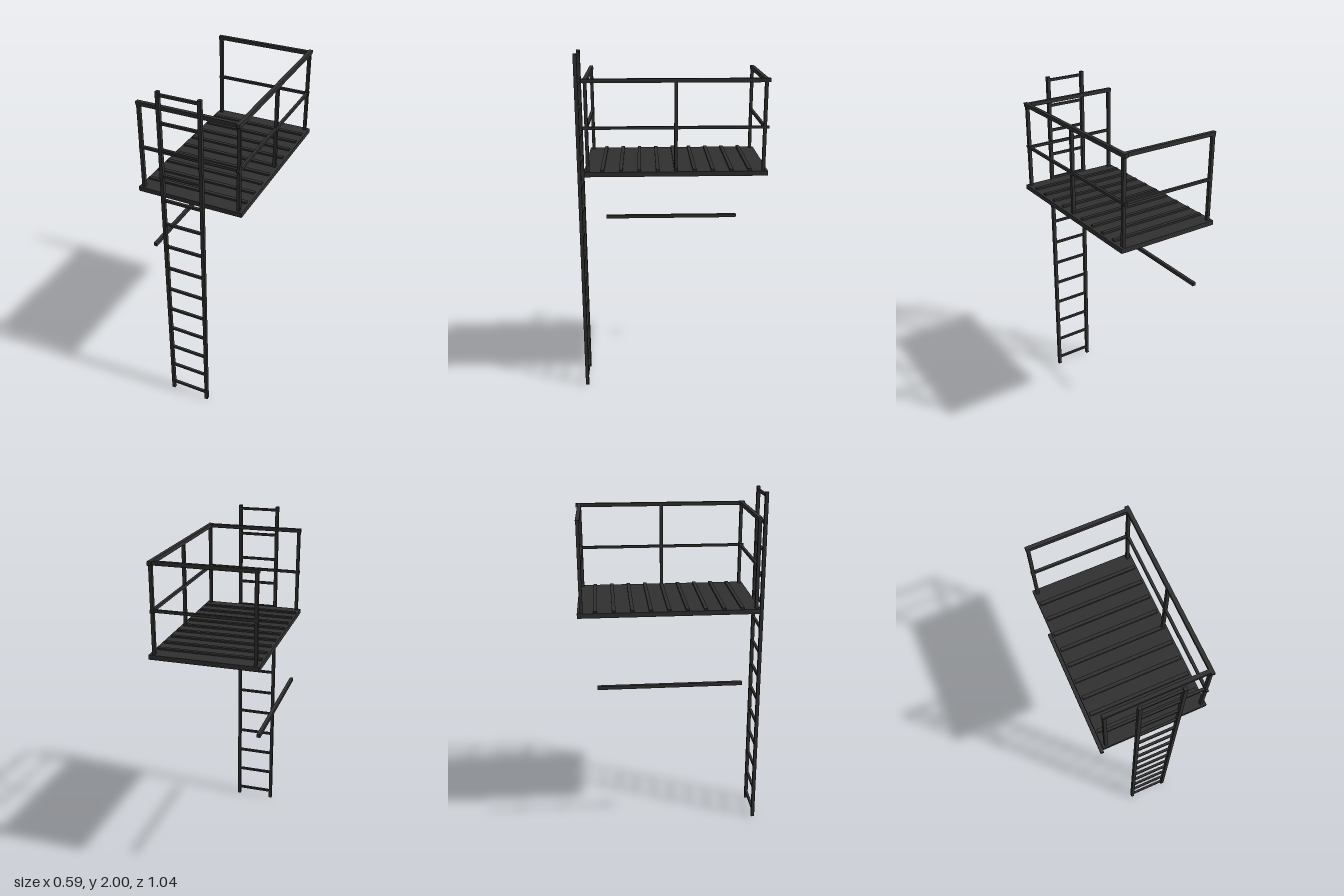
import * as THREE from 'three';

export function createModel() {
  const model = new THREE.Group();
  const steel = new THREE.MeshStandardMaterial({ color: 0x303030 });
  steel.name = 'dark steel';

  // Box given by its limits on each axis
  const box = (parent, name, [x0, x1], [y0, y1], [z0, z1]) => {
    const mesh = new THREE.Mesh(new THREE.BoxGeometry(x1 - x0, y1 - y0, z1 - z0), steel);
    mesh.position.set((x0 + x1) / 2, (y0 + y1) / 2, (z0 + z1) / 2);
    mesh.name = name;
    parent.add(mesh);
  };
  const around = (c, size) => [c - size / 2, c + size / 2];
  const group = (name) => {
    const g = new THREE.Group();
    g.name = name;
    model.add(g);
    return g;
  };

  // Platform with raised treads
  const deckTop = 1.4;
  const platform = group('platform');
  box(platform, 'deck', [-0.297, 0.295], [1.374, deckTop], [-0.519, 0.467]);
  for (let i = 0; i < 9; i++) {
    box(platform, 'tread', [-0.287, 0.281], [deckTop, 1.41], around(0.37 - i * 0.0991, 0.02));
  }

  // Guard rail on the front, back and left sides, open on the right
  const guard = group('guardRail');
  const frontZ = 0.447, backZ = -0.497, sideX = 0.271;
  const post = (x, z) => box(guard, 'post', around(x, 0.018), [deckTop, 1.88], around(z, 0.018));
  for (const z of [frontZ, backZ]) {
    post(-0.274, z);
    post(sideX, z);
  }
  post(sideX, -0.025);
  for (const [name, y, size] of [['topRail', 1.881, 0.021], ['midRail', 1.634, 0.015]]) {
    for (const z of [frontZ, backZ]) {
      box(guard, name, [-0.286, 0.281], around(y, size), around(z, size));
    }
    box(guard, name, around(sideX, size), around(y, size), [-0.519, 0.467]);
  }

  // Ladder at the front
  const ladder = group('ladder');
  for (const x of [-0.126, 0.097]) {
    box(ladder, 'stile', around(x, 0.019), [0, 2], around(0.509, 0.02));
  }
  for (let i = 0; i < 14; i++) {
    box(ladder, 'rung', [-0.126, 0.097], around(0.05 + i * 0.1485, 0.014), around(0.508, 0.014));
  }

  // Separate bar below the open side
  box(model, 'lowerBar', around(-0.274, 0.02), around(0.966, 0.02), [-0.425, 0.382]);

  return model;
}
